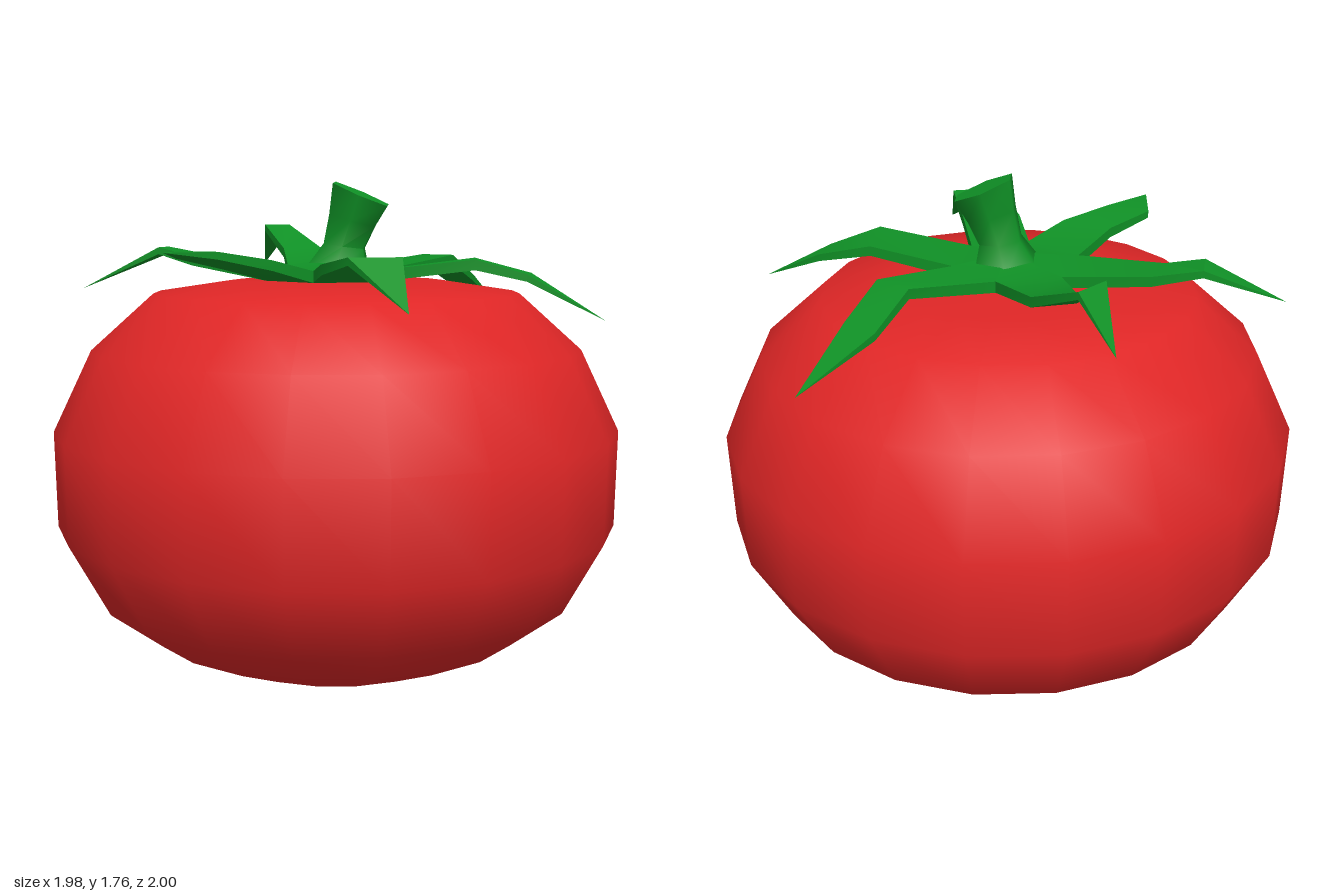
import * as THREE from 'three';
import { toCreasedNormals } from 'three/addons/utils/BufferGeometryUtils.js';

// Each sepal: [left x, left z, right x, right z, y] sections going outward, then the tip [x, y, z]
const HUB_Y = 1.46;
const SEPALS = [
  { s: [[-0.05, -0.15, 0.16, -0.11, HUB_Y], [0.08, -0.45, 0.22, -0.44, 1.5], [0.06, -0.65, 0.2, -0.63, 1.42]], tip: [0.17, 1.27, -0.91] },
  { s: [[0.16, -0.11, 0.23, 0.1, HUB_Y], [0.45, -0.2, 0.56, -0.01, 1.5], [0.64, -0.26, 0.68, -0.15, 1.45]], tip: [0.94, 1.3, -0.22] },
  { s: [[0.23, 0.1, 0.09, 0.26, HUB_Y], [0.4, 0.28, 0.24, 0.42, 1.49], [0.57, 0.45, 0.45, 0.57, 1.52]], tip: [0.69, 1.36, 0.6] },
  { s: [[0.09, 0.26, -0.14, 0.23, HUB_Y], [0.05, 0.43, -0.14, 0.45, 1.5], [-0.04, 0.6, -0.2, 0.62, 1.53]], tip: [-0.09, 1.53, 0.8] },
  { s: [[-0.14, 0.23, -0.21, 0.01, HUB_Y], [-0.48, 0.23, -0.51, 0.09, 1.5], [-0.61, 0.27, -0.66, 0.16, 1.53]], tip: [-0.85, 1.38, 0.42] },
  { s: [[-0.21, 0.01, -0.05, -0.15, HUB_Y], [-0.41, -0.22, -0.31, -0.33, 1.52], [-0.55, -0.28, -0.53, -0.41, 1.61]], tip: [-0.69, 1.45, -0.45] },
];

function sepalGeometry({ s, tip }) {
  const pos = [];
  const tri = (...p) => p.forEach((v) => pos.push(...v));
  const quad = (a, b, c, d) => { tri(a, b, c); tri(a, c, d); };
  const thick = [0.04, 0.035, 0.025];
  const rows = s.map(([ax, az, bx, bz, y], i) => ({
    a: [ax, y, az], b: [bx, y, bz],
    A: [ax, y - thick[i], az], B: [bx, y - thick[i], bz],
  }));
  // wedge of the hub
  tri([0.02, 1.5, 0.02], rows[0].b, rows[0].a);
  tri([0.02, 1.42, 0.02], rows[0].A, rows[0].B);
  // blade: top, underside and both edges
  for (let i = 0; i < rows.length - 1; i++) {
    const p = rows[i], q = rows[i + 1];
    quad(p.a, p.b, q.b, q.a);
    quad(p.A, q.A, q.B, p.B);
    quad(p.a, q.a, q.A, p.A);
    quad(q.b, p.b, p.B, q.B);
  }
  // pointed end
  const e = rows[rows.length - 1];
  tri(e.a, e.b, tip);
  tri(e.B, e.A, tip);
  tri(e.a, tip, e.A);
  tri(tip, e.b, e.B);
  const g = new THREE.BufferGeometry();
  g.setAttribute('position', new THREE.Float32BufferAttribute(pos, 3));
  return toCreasedNormals(g, 0.7);
}

// Six-sided stalk, flared at the base, leaning to +x with a slanted cut
function stemGeometry() {
  const g = new THREE.CylinderGeometry(1, 1, 1, 6, 3, false, Math.PI / 6);
  const p = g.attributes.position;
  const radii = [0.13, 0.08, 0.09, 0.108];
  for (let i = 0; i < p.count; i++) {
    const t = p.getY(i) + 0.5;
    const r = radii[Math.round(t * 3)];
    const x = p.getX(i) * r, z = p.getZ(i) * r;
    p.setXYZ(i, x + 0.02 + 0.085 * t, 1.45 + 0.27 * t - t * (0.4 * x - 0.15 * z), z + 0.03 * (1 - t));
  }
  return toCreasedNormals(g, 1.2);
}

export function createModel() {
  const red = new THREE.MeshStandardMaterial({ color: 0xdf2626 });
  red.name = 'fruit red';
  const green = new THREE.MeshStandardMaterial({ color: 0x109126 });
  green.name = 'leaf green';

  const model = new THREE.Group();
  model.name = 'tomato';
  const add = (parent, name, geometry, material) => {
    const mesh = new THREE.Mesh(geometry, material);
    mesh.name = name;
    parent.add(mesh);
    return mesh;
  };

  // Squashed round fruit with twenty sides
  const k = 1 / Math.cos(Math.PI / 20);
  const profile = [[0, 0], [0.15, 0], [0.435, 0.06], [0.67, 0.16], [0.85, 0.3], [0.985, 0.555],
    [0.99, 0.895], [0.855, 1.18], [0.64, 1.375], [0.38, 1.415], [0, 1.42]]
    .map(([r, y]) => new THREE.Vector2(r * k, y));
  const fruit = add(model, 'fruit', new THREE.LatheGeometry(profile, 20, Math.PI / 20), red);
  fruit.scale.z = 1.01;

  // Leafy crown
  const calyx = new THREE.Group();
  calyx.name = 'calyx';
  SEPALS.forEach((sepal, i) => add(calyx, `sepal${i + 1}`, sepalGeometry(sepal), green));
  model.add(calyx);

  add(model, 'stem', stemGeometry(), green);
  return model;
}
